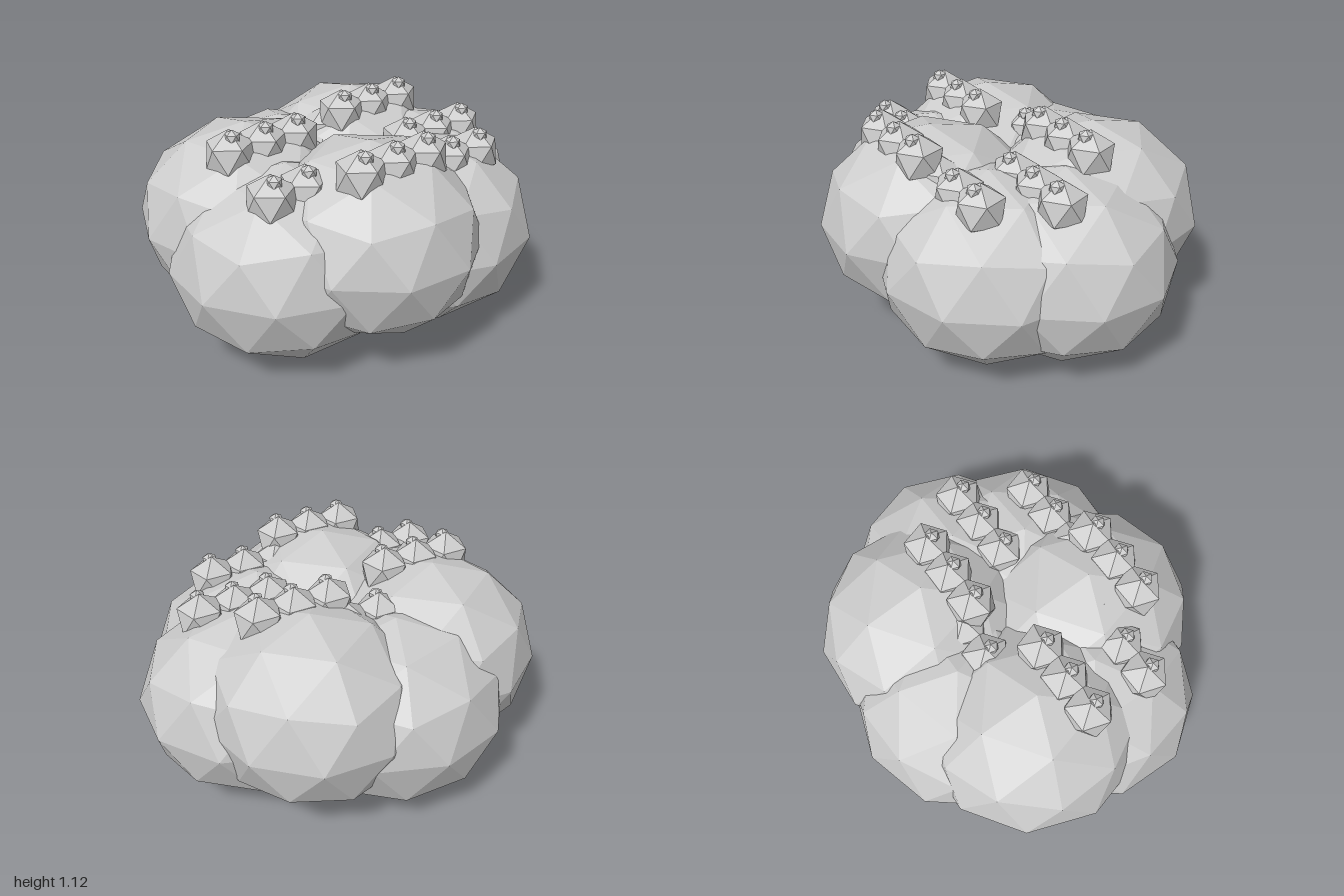
import * as THREE from 'three';

const grey = new THREE.MeshStandardMaterial({ color: 0xcccccc, flatShading: true });
grey.name = 'stone grey';

// Faceted ball standing on a corner, with one upper-ring corner towards +x
function facetBall(detail, rx, ry, rz, yaw) {
  const g = new THREE.IcosahedronGeometry(1, detail);
  g.rotateZ(-Math.atan2(1, (1 + Math.sqrt(5)) / 2));
  g.scale(rx, ry, rz);
  g.rotateY(THREE.MathUtils.degToRad(yaw));
  g.computeVertexNormals();
  return g;
}

// Lobe centres: upper lobes are turned a quarter, lower lobes stand on the ground
const HIGH = 0.58, LOW = 0.48;
const lobes = [
  [-0.47, HIGH, -0.17],
  [0.27, HIGH, -0.30],
  [-0.14, HIGH, 0.38],
  [0.45, LOW, 0],
  [-0.47, LOW, 0.17],
  [0.27, LOW, 0.31],
  [-0.14, LOW, -0.38],
];

export function createModel() {
  const model = new THREE.Group();
  model.name = 'lobedCluster';

  const lowLobe = facetBall(1, 0.57, 0.48, 0.545, -2);
  const highLobe = facetBall(1, 0.565, 0.48, 0.54, 87);
  const knob = facetBall(0, 0.127, 0.127, 0.127, -90);
  const bead = facetBall(0, 0.04, 0.037, 0.04, -90);

  const add = (parent, geometry, name, x, y, z) => {
    const mesh = new THREE.Mesh(geometry, grey);
    mesh.name = name;
    mesh.position.set(x, y, z);
    parent.add(mesh);
  };

  for (const [x, y, z] of lobes) {
    const group = new THREE.Group();
    group.name = 'lobeWithKnobs';
    group.position.set(x, y, z);
    add(group, y === HIGH ? highLobe : lowLobe, 'lobe', 0, 0, 0);

    // Row of three knobs on top, each with a bead
    for (const dx of [-0.18, 0, 0.18]) {
      add(group, knob, 'knob', dx, 0.405, 0.16);
      add(group, bead, 'bead', dx, 0.5, 0.19);
    }
    model.add(group);
  }
  return model;
}
